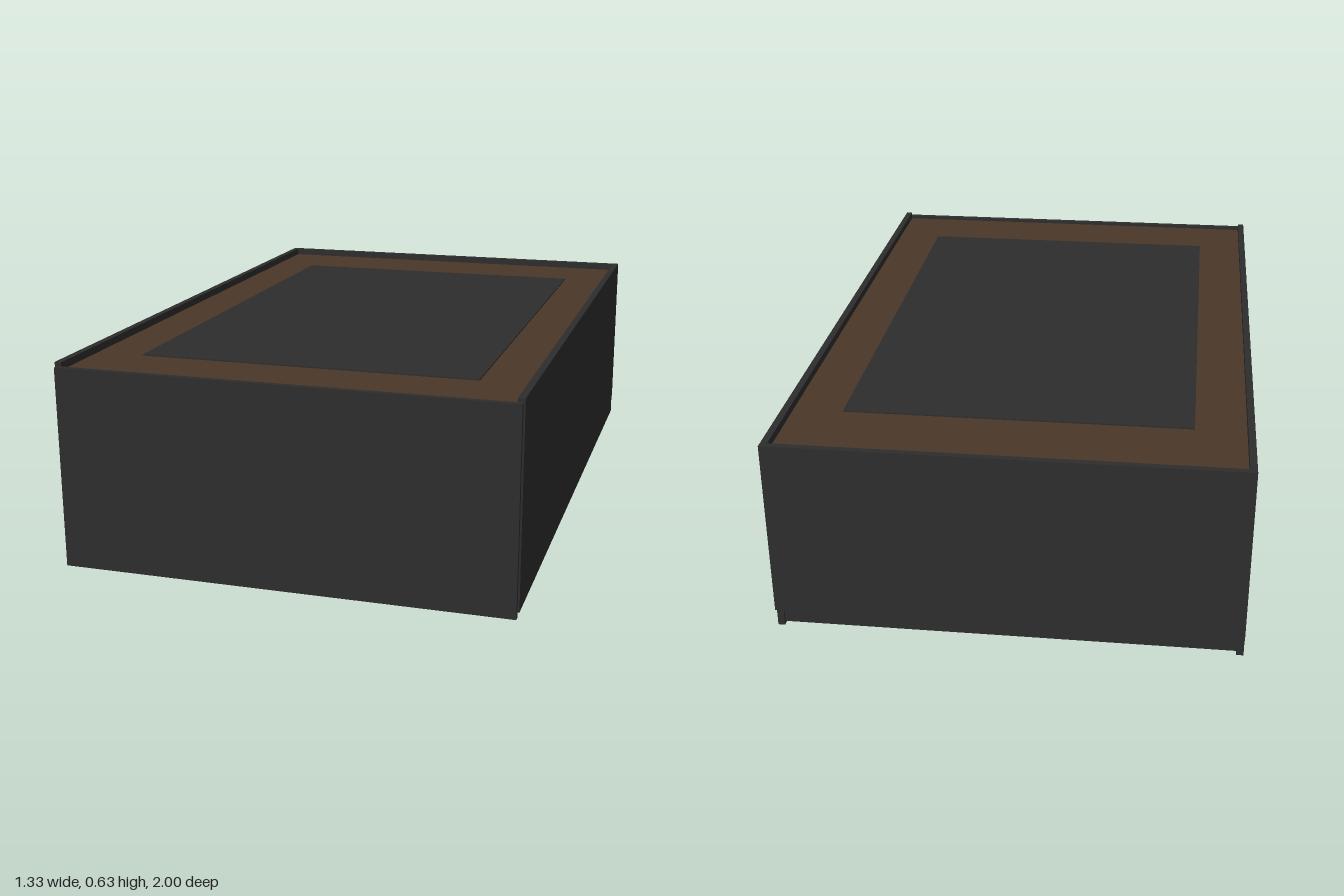
import * as THREE from 'three';

const charcoal = new THREE.MeshStandardMaterial({ name: 'charcoal', color: 0x2d2d2d });
const brown = new THREE.MeshStandardMaterial({ name: 'brown', color: 0x4a3728 });

// Box given by its lower and upper limits on each axis
function slab(name, material, [x0, x1], [y0, y1], [z0, z1]) {
  const mesh = new THREE.Mesh(new THREE.BoxGeometry(x1 - x0, y1 - y0, z1 - z0), material);
  mesh.position.set((x0 + x1) / 2, (y0 + y1) / 2, (z0 + z1) / 2);
  mesh.name = name;
  return mesh;
}

export function createModel() {
  const model = new THREE.Group();
  model.name = 'box';

  // Outer walls
  for (const [name, s] of [['leftWall', 1], ['rightWall', -1]]) {
    const xs = [s * 0.665, s * 0.645].sort((a, b) => a - b);
    model.add(slab(name, charcoal, xs, [0.04, 0.63], [-0.985, 0.985]));
  }
  model.add(
    slab('frontWall', charcoal, [-0.66, 0.66], [0.025, 0.618], [0.983, 1]),
    slab('backWall', charcoal, [-0.665, 0.665], [0.1, 0.63], [-1, -0.98]),
    slab('backLowerStrip', charcoal, [-0.645, 0.645], [0.05, 0.1], [-0.98, -0.965])
  );

  // Floor in two boards with a narrow seam
  model.add(
    slab('rearFloor', charcoal, [-0.645, 0.645], [0.05, 0.065], [-0.98, -0.135]),
    slab('frontFloor', charcoal, [-0.645, 0.645], [0.045, 0.065], [-0.13, 0.983])
  );

  // Recessed brown top with a dark inlay
  model.add(
    slab('topPanel', brown, [-0.645, 0.645], [0.59, 0.608], [-0.98, 0.983]),
    slab('topInlay', charcoal, [-0.5, 0.5], [0.607, 0.612], [-0.73, 0.77])
  );

  // Shallow tray under the floor
  model.add(
    slab('trayBody', brown, [-0.375, 0.375], [0.012, 0.047], [-0.1, 0.5]),
    slab('trayBase', charcoal, [-0.38, 0.38], [0, 0.012], [-0.097, 0.497])
  );
  return model;
}
